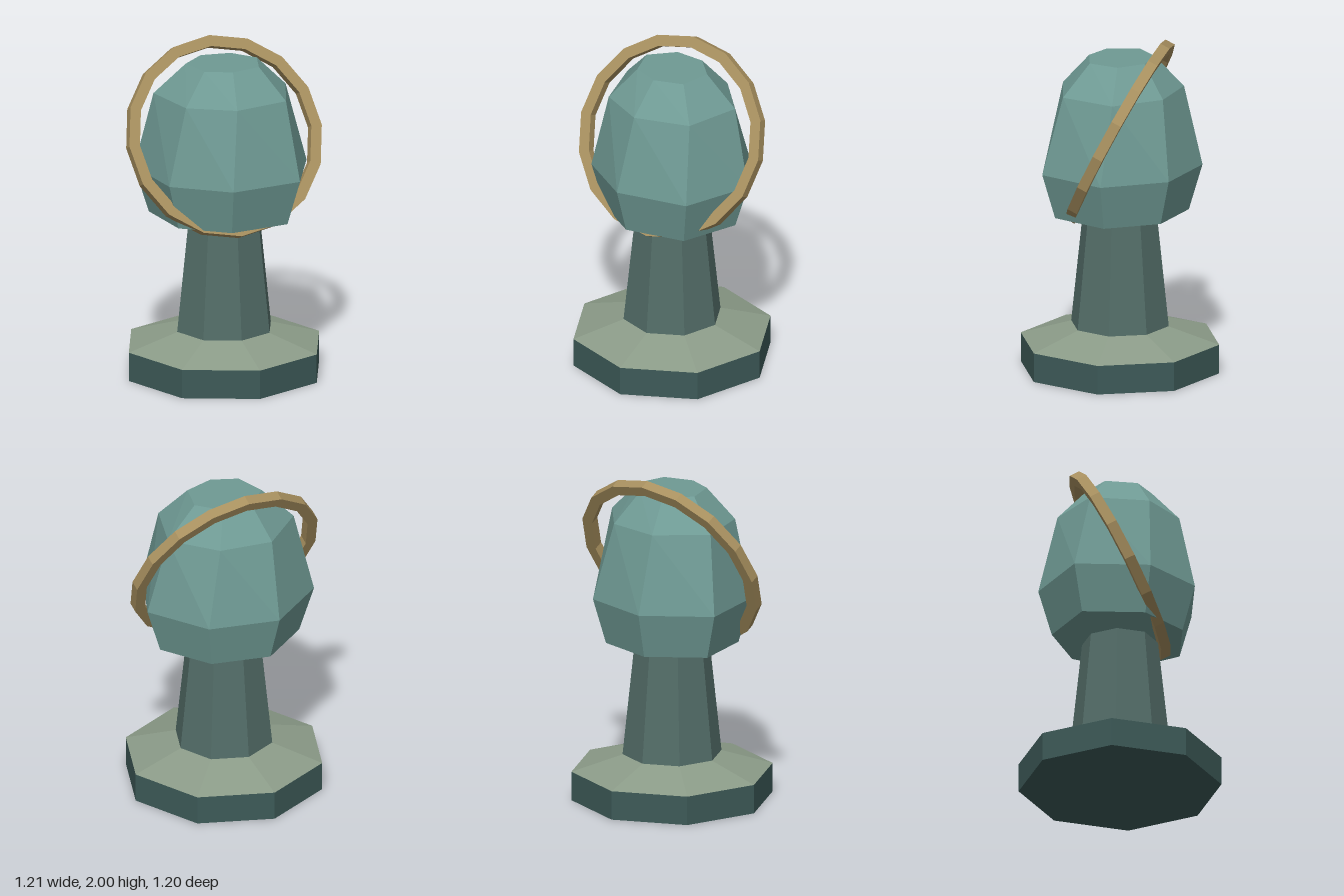
import * as THREE from 'three';

const mat = (color) => new THREE.MeshStandardMaterial({ color, flatShading: true });

function add(group, name, geometry, color) {
  const mesh = new THREE.Mesh(geometry, mat(color));
  mesh.name = name;
  group.add(mesh);
  return mesh;
}

// Eight-sided frustum standing between two heights
function octagon(rTop, rBottom, y0, y1) {
  return new THREE.CylinderGeometry(rTop, rBottom, y1 - y0, 8).translate(0, (y0 + y1) / 2, 0);
}

// Faceted solid through horizontal rings of [x, z] corners, listed clockwise from above
function loft(rings, heights) {
  const pos = [];
  const n = rings[0].length;
  const put = (k, i) => pos.push(rings[k][i % n][0], heights[k], rings[k][i % n][1]);
  const last = rings.length - 1;
  for (let k = 0; k < last; k++) {
    for (let i = 0; i < n; i++) {
      put(k, i); put(k + 1, i); put(k + 1, i + 1);
      put(k, i); put(k + 1, i + 1); put(k, i + 1);
    }
  }
  for (let i = 1; i < n - 1; i++) {
    put(0, 0); put(0, i); put(0, i + 1);
    put(last, 0); put(last, i + 1); put(last, i);
  }
  const g = new THREE.BufferGeometry();
  g.setAttribute('position', new THREE.Float32BufferAttribute(pos, 3));
  g.computeVertexNormals();
  return g;
}

export function createModel() {
  const model = new THREE.Group();
  model.name = 'pedestalStone';

  // Pedestal
  add(model, 'base', octagon(0.6, 0.6, 0, 0.175), 0x3d5a58);
  add(model, 'baseSlope', octagon(0.29, 0.6, 0.175, 0.27), 0x8b9b88);
  add(model, 'column', octagon(0.225, 0.295, 0.27, 0.935), 0x536d68);

  // Irregular seven-sided stone floating above the column
  const belly = [[-0.105, -0.475], [0.31, -0.365], [0.52, 0], [0.33, 0.395],
    [-0.11, 0.452], [-0.425, 0.215], [-0.48, -0.23]];
  const shoulder = [[-0.12, -0.36], [0.2, -0.305], [0.405, -0.045], [0.285, 0.28],
    [-0.05, 0.355], [-0.315, 0.2], [-0.39, -0.145]];
  const crown = [[-0.075, -0.193], [0.105, -0.172], [0.22, -0.035], [0.165, 0.145],
    [-0.015, 0.19], [-0.168, 0.118], [-0.215, -0.07]];
  const foot = belly.map(([x, z]) => [x * 0.835, z * 0.835]);
  add(model, 'stone', loft([foot, belly, shoulder, crown], [0.97, 1.245, 1.715, 1.9]), 0x6f9a94);

  // Square-section hoop, leaning back through the stone
  const inner = 0.54, outer = 0.606, half = 0.031;
  const section = [[inner, -half], [outer, -half], [outer, half], [inner, half], [inner, -half]]
    .map(([x, y]) => new THREE.Vector2(x, y));
  const hoop = add(model, 'hoop', new THREE.LatheGeometry(section, 16).rotateX(Math.PI / 2), 0xa8905f);
  hoop.position.y = 1.445;
  hoop.rotation.x = -0.465;

  return model;
}
